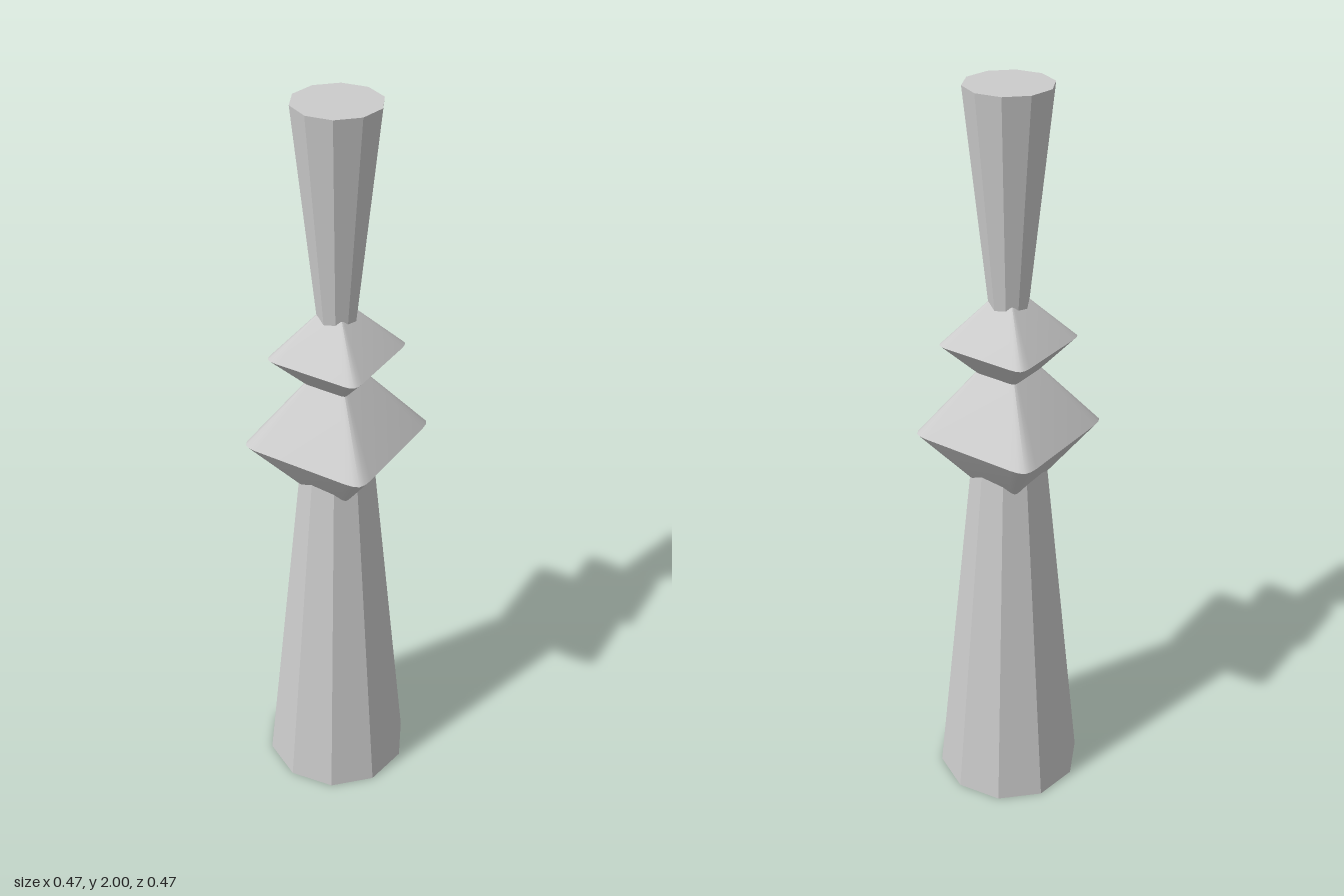
import * as THREE from 'three';
import { toCreasedNormals } from 'three/addons/utils/BufferGeometryUtils.js';

const SIDES = 10;

// Square outline standing on its corners, each corner blunted; unit radius.
const CORNER = [[0.917, -0.138], [0.977, -0.064], [1, 0], [0.977, 0.064], [0.917, 0.138]];

// Double pyramid over the blunted square, with soft corners and a sharp waist.
function diamondGeometry(radius, halfHeight) {
  const ring = [];
  for (let q = 0; q < 4; q++) {
    for (const [a, b] of CORNER) {
      const p = new THREE.Vector3(a * radius, 0, b * radius);
      ring.push(p.applyAxisAngle(new THREE.Vector3(0, 1, 0), -q * Math.PI / 2));
    }
  }
  const top = new THREE.Vector3(0, halfHeight, 0);
  const bottom = new THREE.Vector3(0, -halfHeight, 0);
  const points = [];
  ring.forEach((p, i) => {
    const next = ring[(i + 1) % ring.length];
    points.push(next, p, top, p, next, bottom);
  });
  return toCreasedNormals(new THREE.BufferGeometry().setFromPoints(points), 0.7);
}

export function createModel() {
  const group = new THREE.Group();
  const flat = new THREE.MeshStandardMaterial({ color: 0xcccccc, flatShading: true });
  const smooth = new THREE.MeshStandardMaterial({ color: 0xcccccc });

  // Ten-sided tapered shafts, with a corner on the x axis
  const addShaft = (name, y0, r0, y1, r1) => {
    const geometry = new THREE.CylinderGeometry(r1, r0, y1 - y0, SIDES);
    geometry.rotateY(Math.PI / 2);
    const mesh = new THREE.Mesh(geometry, flat);
    mesh.position.y = (y0 + y1) / 2;
    mesh.name = name;
    group.add(mesh);
  };
  addShaft('lowerShaft', 0, 0.2, 1.05, 0.095);
  addShaft('upperShaft', 1.42, 0.046, 2, 0.108);

  // Two stacked diamond knops
  const addKnop = (name, y, radius, halfHeight) => {
    const mesh = new THREE.Mesh(diamondGeometry(radius, halfHeight), smooth);
    mesh.position.y = y;
    mesh.name = name;
    group.add(mesh);
  };
  addKnop('largeKnop', 1.115, 0.237, 0.25);
  addKnop('smallKnop', 1.36, 0.173, 0.155);

  return group;
}
